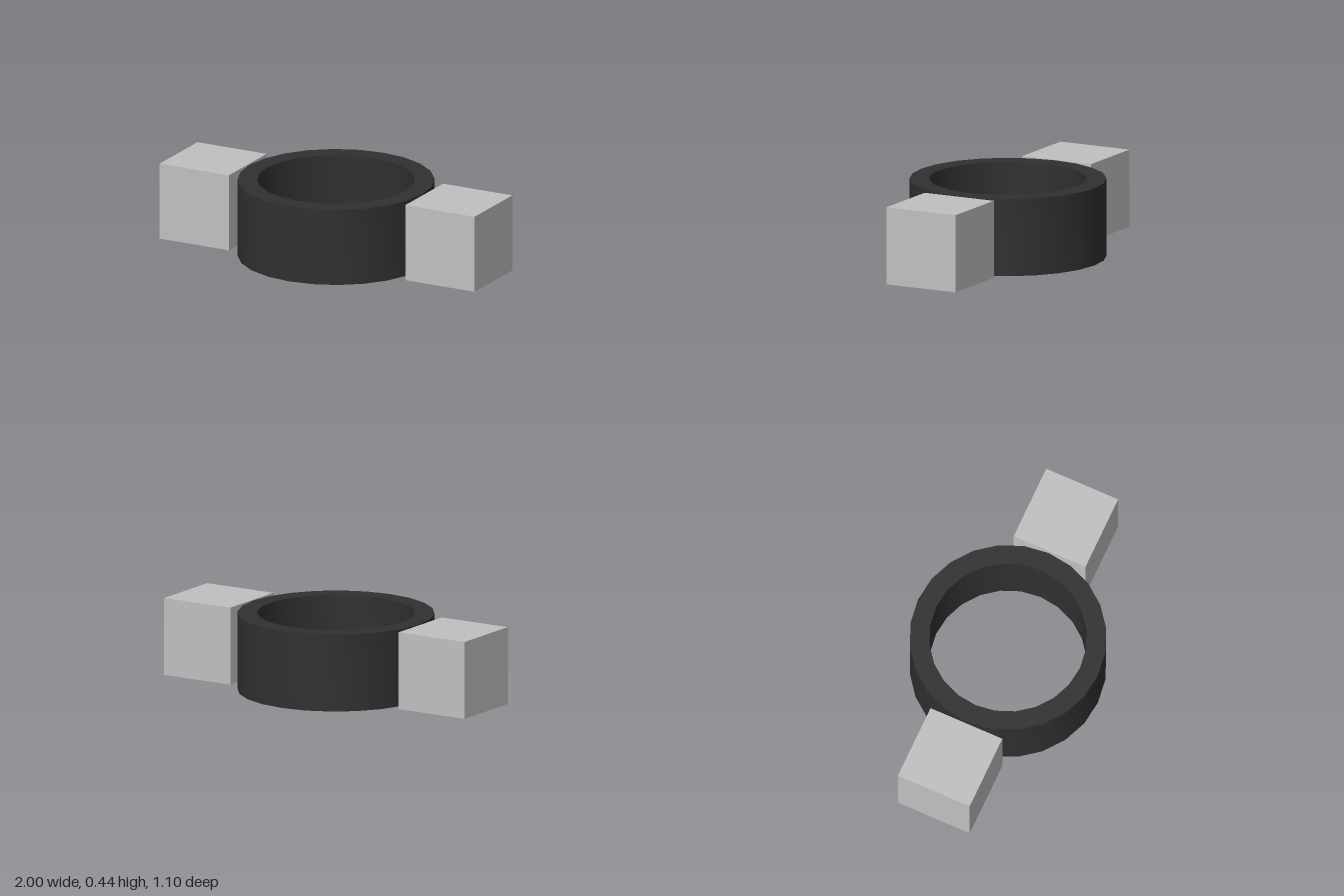
import * as THREE from 'three';
import { toCreasedNormals } from 'three/addons/utils/BufferGeometryUtils.js';

const HEIGHT = 0.44;
const OUTER = 0.55;
const INNER = 0.44;

export function createModel() {
  const model = new THREE.Group();
  model.name = 'ringWithBlocks';

  const darkGrey = new THREE.MeshStandardMaterial({ color: 0x303030 });
  darkGrey.name = 'darkGrey';
  const lightGrey = new THREE.MeshStandardMaterial({ color: 0xc0c0c0 });
  lightGrey.name = 'lightGrey';

  // Open ring: rectangular section turned around y, smooth walls and sharp rims
  const section = [
    [INNER, 0], [OUTER, 0], [OUTER, HEIGHT], [INNER, HEIGHT], [INNER, 0],
  ].map(([r, y]) => new THREE.Vector2(r, y));
  const ring = new THREE.Mesh(
    toCreasedNormals(new THREE.LatheGeometry(section, 24), Math.PI / 6),
    darkGrey,
  );
  ring.name = 'ring';
  model.add(ring);

  // Mirrored cubes standing just clear of the ring
  const cube = new THREE.BoxGeometry(HEIGHT, HEIGHT, HEIGHT);
  for (const [name, side] of [['leftBlock', 1], ['rightBlock', -1]]) {
    const block = new THREE.Mesh(cube, lightGrey);
    block.name = name;
    block.position.set(side * (1 - HEIGHT / 2), HEIGHT / 2, 0);
    model.add(block);
  }

  return model;
}
